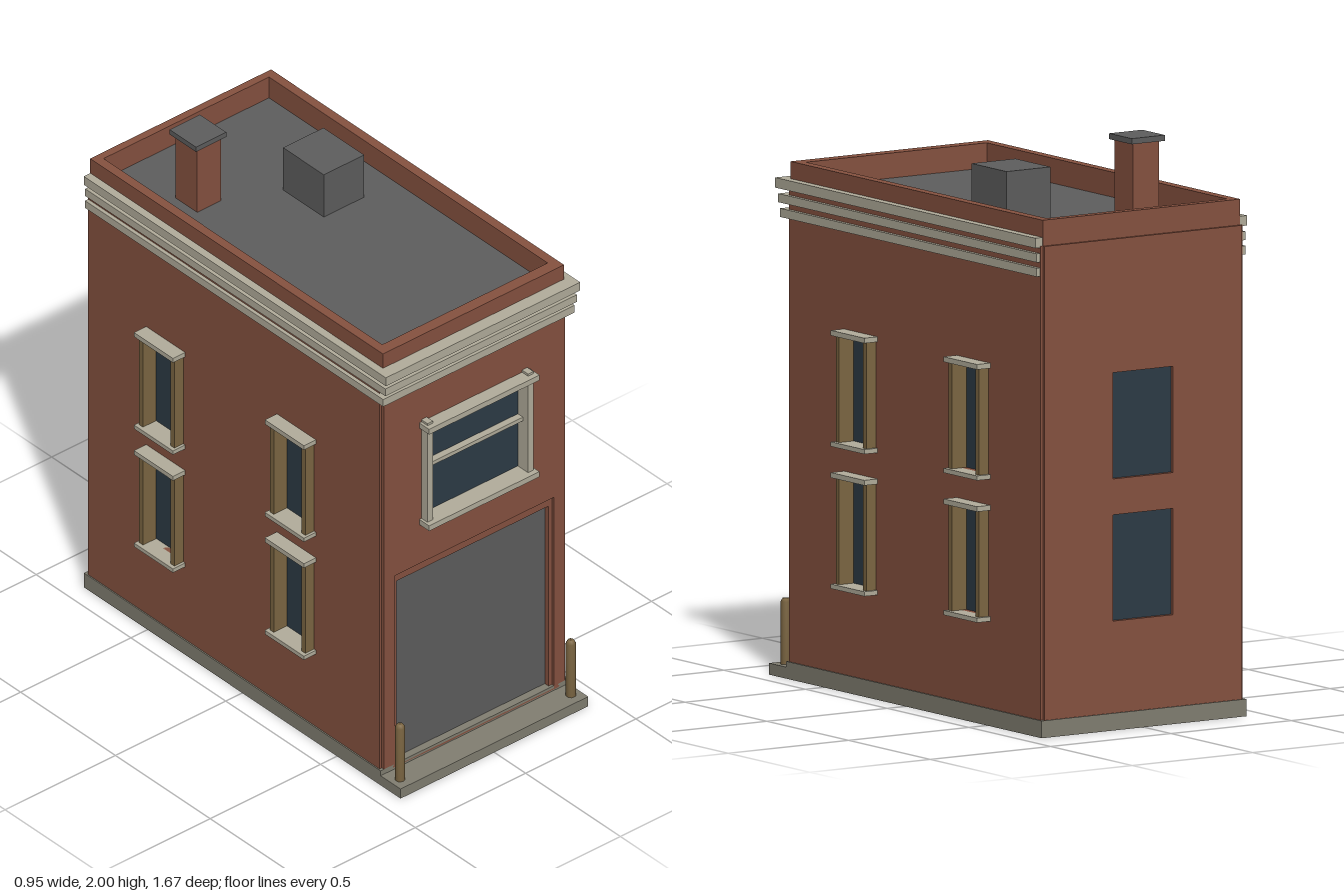
import * as THREE from 'three';

const mat = (name, color) => {
  const m = new THREE.MeshStandardMaterial({ color });
  m.name = name;
  return m;
};

export function createModel() {
  const brick = mat('brick', 0x875240);
  const grey = mat('roof grey', 0x5e5e5e);
  const stone = mat('base stone', 0x827f72);
  const cream = mat('cream trim', 0xb3ae9c);
  const glass = mat('window glass', 0x2d3b46);
  const wood = mat('wood', 0x7d6743);
  const root = new THREE.Group();

  // Box given by its minimum and maximum along each axis
  const box = (name, m, x0, x1, y0, y1, z0, z1, parent = root) => {
    const mesh = new THREE.Mesh(new THREE.BoxGeometry(x1 - x0, y1 - y0, z1 - z0), m);
    mesh.position.set((x0 + x1) / 2, (y0 + y1) / 2, (z0 + z1) / 2);
    mesh.name = name;
    parent.add(mesh);
    return mesh;
  };
  const outline = (S, [a, b, c, d]) => {
    const s = new S();
    s.moveTo(a, c);
    s.lineTo(b, c);
    s.lineTo(b, d);
    s.lineTo(a, d);
    s.closePath();
    return s;
  };
  // Slab with rectangular openings; rectangles are [x0, x1, y0, y1]
  const slab = (name, m, rect, holes, depth) => {
    const s = outline(THREE.Shape, rect);
    holes.forEach((h) => s.holes.push(outline(THREE.Path, h)));
    const mesh = new THREE.Mesh(new THREE.ExtrudeGeometry(s, { depth, bevelEnabled: false }), m);
    mesh.name = name;
    root.add(mesh);
    return mesh;
  };

  const floors = [[0.38, 0.75], [0.875, 1.245]];
  const bays = [0.28, -0.41];

  // Base and front step
  box('base', stone, -0.425, 0.425, 0, 0.06, -0.835, 0.73);
  box('frontStep', stone, -0.425, 0.425, 0, 0.04, 0.73, 0.835);

  // Front wall with garage and window openings
  slab('frontWall', brick, [-0.41, 0.41, 0.04, 1.71],
    [[-0.36, 0.36, 0.05, 0.85], [-0.22, 0.22, 1.03, 1.425]], 0.04).position.z = 0.69;
  slab('garageSurround', brick, [-0.36, 0.36, 0.05, 0.85],
    [[-0.345, 0.345, 0.051, 0.815]], 0.03).position.z = 0.69;
  box('garageDoor', grey, -0.35, 0.35, 0.06, 0.82, 0.685, 0.7);

  // Front window
  const front = new THREE.Group();
  front.name = 'frontWindow';
  root.add(front);
  box('frontGlass', glass, -0.23, 0.23, 1.02, 1.43, 0.7, 0.708, front);
  for (const s of [-1, 1]) {
    box('frontWindowPost', cream, s * 0.228 - 0.012, s * 0.228 + 0.012, 1.005, 1.45, 0.7, 0.762, front);
  }
  for (const y of [1.025, 1.43]) {
    box('frontWindowRail', cream, -0.25, 0.25, y - 0.011, y + 0.011, 0.7, 0.782, front);
  }
  box('frontWindowBar', cream, -0.22, 0.22, 1.24, 1.255, 0.7, 0.735, front);

  // Back wall with two recessed windows
  const back = slab('backWall', brick, [-0.41, 0.41, 0.05, 1.71],
    floors.map(([a, b]) => [-0.125, 0.125, a, b]), 0.04);
  back.rotation.y = Math.PI;
  back.position.z = -0.79;
  for (const [a, b] of floors) {
    box('backGlass', glass, -0.13, 0.13, a - 0.005, b + 0.005, -0.815, -0.807);
  }

  // Side walls with framed windows
  for (const s of [-1, 1]) {
    const holes = [];
    for (const [a, b] of floors) {
      for (const z of bays) holes.push([-s * z - 0.077, -s * z + 0.077, a, b]);
    }
    const zs = [-s * 0.718, s * 0.82].sort((p, q) => p - q);
    const wall = slab('sideWall', brick, [zs[0], zs[1], 0.05, 1.71], holes, 0.04);
    wall.rotation.y = s * Math.PI / 2;
    wall.position.x = s * 0.38;

    const span = (name, m, xa, xb, y0, y1, z0, z1) =>
      box(name, m, Math.min(s * xa, s * xb), Math.max(s * xa, s * xb), y0, y1, z0, z1);
    for (const [a, b] of floors) {
      for (const z of bays) {
        span('sideGlass', glass, 0.392, 0.4, a - 0.01, b + 0.01, z - 0.085, z + 0.085);
        for (const e of [-1, 1]) {
          const c = z + e * 0.083;
          span('sideWindowPost', wood, 0.4, 0.46, a, b, c - 0.01, c + 0.01);
        }
        span('sideSill', cream, 0.4, 0.475, a - 0.016, a, z - 0.103, z + 0.103);
        span('sideLintel', cream, 0.4, 0.475, b, b + 0.018, z - 0.103, z + 0.103);
      }
    }
  }

  // Cornice bands, stepping outward towards the top
  [[1.605, 1.635, 0.754, 0.434], [1.655, 1.685, 0.765, 0.434], [1.705, 1.74, 0.775, 0.44]]
    .forEach(([y0, y1, z, x]) => {
      box('frontCornice', cream, -x, x, y0, y1, 0.715, z);
      for (const s of [-1, 1]) {
        const c = s * (0.408 + x) / 2, h = (x - 0.408) / 2;
        box('sideCornice', cream, c - h, c + h, y0, y1, -0.818, 0.715);
      }
    });

  // Parapet ring and roof
  const parapet = slab('parapet', brick, [-0.41, 0.41, -0.725, 0.82],
    [[-0.375, 0.375, -0.68, 0.79]], 0.09);
  parapet.rotation.x = -Math.PI / 2;
  parapet.position.y = 1.71;
  box('roof', grey, -0.385, 0.385, 1.69, 1.713, -0.8, 0.69);

  // Rooftop unit and chimney
  box('roofUnit', grey, 0.052, 0.235, 1.71, 1.89, -0.34, -0.125);
  box('chimney', brick, -0.26, -0.153, 1.71, 1.98, -0.543, -0.43);
  box('chimneyCap', grey, -0.276, -0.138, 1.98, 2, -0.557, -0.418);

  // Bollards on the step
  const profile = [[0, 0.04], [0.018, 0.04], [0.018, 0.258], [0.011, 0.27], [0, 0.27]]
    .map(([r, y]) => new THREE.Vector2(r, y));
  for (const s of [-1, 1]) {
    const bollard = new THREE.Mesh(new THREE.LatheGeometry(profile, 12), wood);
    bollard.position.set(s * 0.387, 0, 0.788);
    bollard.name = 'bollard';
    root.add(bollard);
  }
  return root;
}
